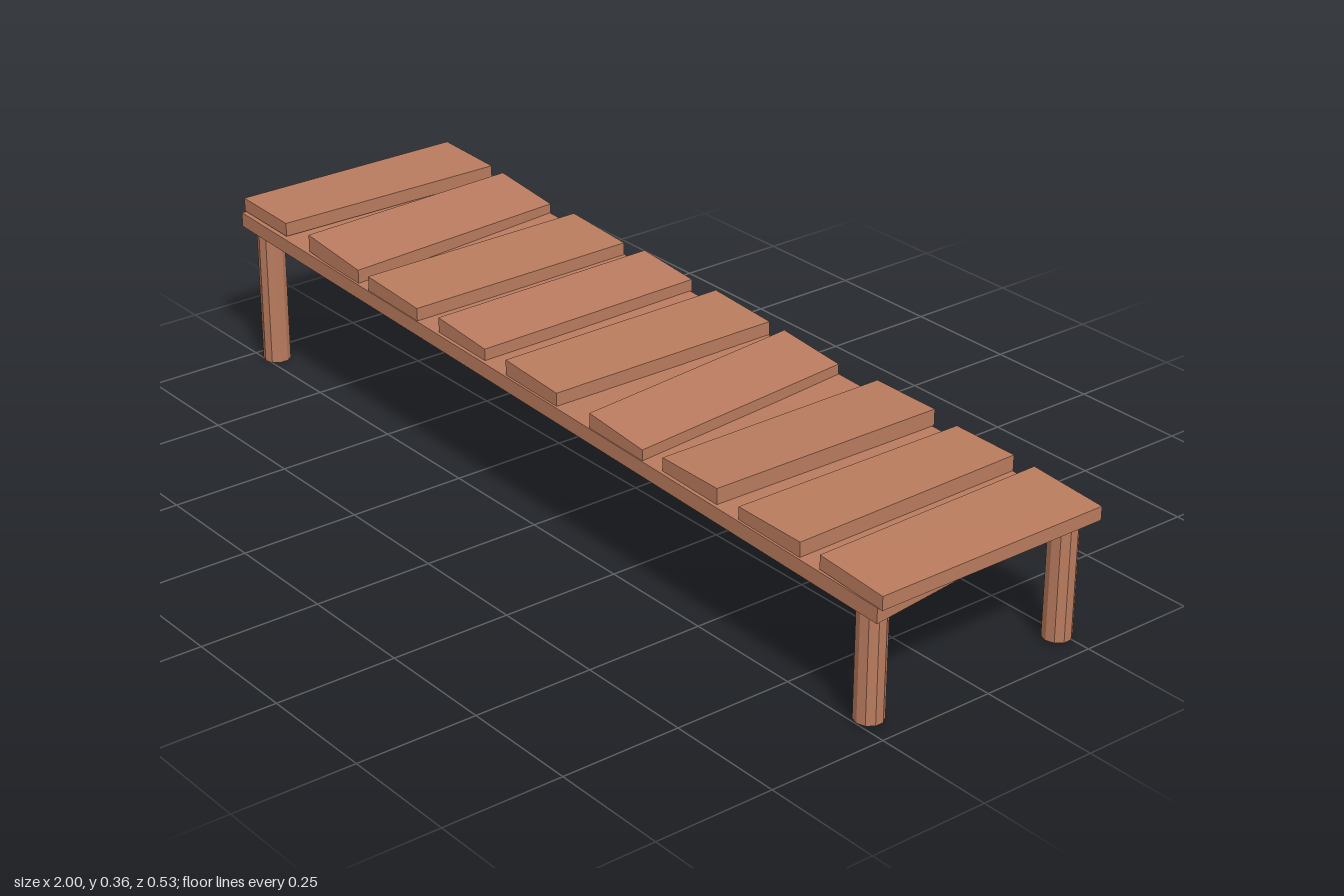
import * as THREE from 'three';

const wood = new THREE.MeshStandardMaterial({ color: 0xb97b5e, flatShading: true });
wood.name = 'warm wood';

// Board with separate left/right x limits on its front and back edges,
// and separate top heights at its low-x and high-x sides.
function board(name, front, back, zFront, zBack, tops, thickness, backDrop = 0) {
  const geometry = new THREE.BoxGeometry(1, 1, 1);
  const p = geometry.attributes.position;
  for (let i = 0; i < p.count; i++) {
    const side = p.getX(i) > 0 ? 1 : 0;
    const isFront = p.getZ(i) > 0;
    const y = tops[side] - (p.getY(i) > 0 ? 0 : thickness) - (isFront ? 0 : backDrop);
    p.setXYZ(i, (isFront ? front : back)[side], y, isFront ? zFront : zBack);
  }
  geometry.computeVertexNormals();
  const mesh = new THREE.Mesh(geometry, wood);
  mesh.name = name;
  return mesh;
}

export function createModel() {
  const model = new THREE.Group();
  model.name = 'plankWalkway';

  // Sloping deck, shorter along its back edge
  model.add(board('deck', [-1, 0.99], [-0.95, 0.925], 0.265, -0.26, [0.33, 0.262], 0.031));

  // Uneven planks: front x limits, back x limits, top heights, thickness, back drop
  const planks = [
    [[-1, -0.84], [-1, -0.835], [0.361, 0.356], 0.029, 0],
    [[-0.75, -0.57], [-0.79, -0.62], [0.361, 0.344], 0.036, 0.006],
    [[-0.53, -0.36], [-0.535, -0.365], [0.345, 0.335], 0.036, 0],
    [[-0.295, -0.142], [-0.305, -0.152], [0.337, 0.325], 0.036, 0],
    [[-0.07, 0.09], [-0.073, 0.092], [0.33, 0.32], 0.036, 0],
    [[0.195, 0.352], [0.14, 0.3], [0.32, 0.306], 0.033, 0],
    [[0.403, 0.557], [0.403, 0.562], [0.309, 0.309], 0.034, 0],
    [[0.62, 0.785], [0.625, 0.775], [0.3, 0.299], 0.034, 0],
    [[0.84, 1], [0.83, 1], [0.299, 0.288], 0.028, 0],
  ];
  planks.forEach(([front, back, tops, thickness, drop], i) => {
    const shift = (i % 3 - 1) * 0.003;
    model.add(board('plank' + (i + 1), front, back, 0.26 + shift, -0.262 + shift, tops, thickness, drop));
  });

  // Round legs reaching the deck; the back pair meets the end planks
  for (const [x, bottom, top] of [[-0.953, 0, 0.315], [0.937, 0.006, 0.258]]) {
    for (const [z, name] of [[0.226, 'frontLeg'], [-0.232, 'backLeg']]) {
      const leg = new THREE.Mesh(new THREE.CylinderGeometry(0.029, 0.029, top - bottom, 10), wood);
      leg.position.set(x, (top + bottom) / 2, z);
      leg.name = name + (x > 0 ? 'Left' : 'Right');
      model.add(leg);
    }
  }
  return model;
}
